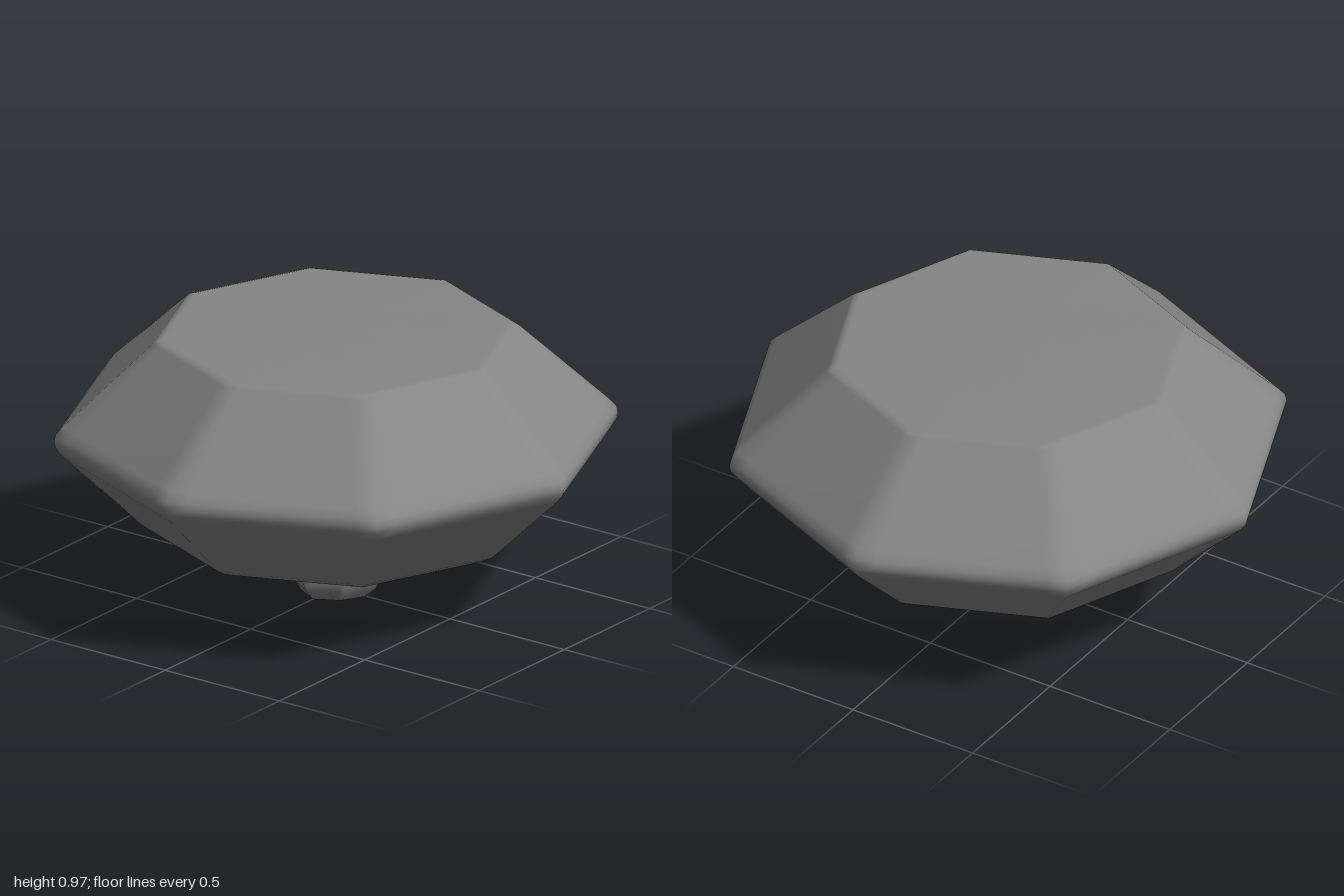
import * as THREE from 'three';

// Distance from the axis to a regular polygon with a corner at angle 0
function polygonRadius(angle, sides) {
  const step = (Math.PI * 2) / sides;
  const a = ((angle % step) + step) % step;
  return Math.cos(step / 2) / Math.cos(a - step / 2);
}

// Lofts closed rings [radius, y, octagon share] and closes both ends;
// share 1 is an octagon, share 0 is a square
function loft(rings) {
  const angles = [];
  for (let i = 0; i < 8; i++) {
    for (const d of [-0.07, 0, 0.07]) angles.push((i * Math.PI) / 4 + d);
  }
  const n = angles.length;
  const positions = [];
  const index = [];
  for (const [r, y, share] of rings) {
    for (const a of angles) {
      const k = r * (share * polygonRadius(a, 8) + (1 - share) * polygonRadius(a, 4));
      positions.push(Math.cos(a) * k, y, Math.sin(a) * k);
    }
  }
  for (let i = 0; i < rings.length - 1; i++) {
    for (let j = 0; j < n; j++) {
      const a = i * n + j;
      const b = i * n + ((j + 1) % n);
      index.push(a, a + n, b, b, a + n, b + n);
    }
  }
  // End caps
  const bottom = positions.length / 3;
  positions.push(0, rings[0][1], 0, 0, rings[rings.length - 1][1], 0);
  const last = (rings.length - 1) * n;
  for (let j = 0; j < n; j++) {
    const k = (j + 1) % n;
    index.push(bottom, j, k, bottom + 1, last + k, last + j);
  }
  const geometry = new THREE.BufferGeometry();
  geometry.setAttribute('position', new THREE.Float32BufferAttribute(positions, 3));
  geometry.setIndex(index);
  geometry.computeVertexNormals();
  return geometry;
}

export function createModel() {
  const group = new THREE.Group();
  group.name = 'facetedKnob';
  const material = new THREE.MeshStandardMaterial({ color: 0x868686 });

  const rings = [
    // Stem, rounder at the tip and squarer above
    [0.135, 0, 0.7],
    [0.178, 0.045, 0.5],
    [0.19, 0.07, 0.35],
    [0.24, 0.185, 0.2],
    // Flare into the underside
    [0.275, 0.21, 0.3],
    [0.32, 0.232, 0.5],
    [0.6, 0.243, 1],
    // Lower facets with softened rims
    [0.645, 0.249, 1],
    [0.685, 0.272, 1],
    [0.97, 0.548, 1],
    // Girdle
    [0.994, 0.58, 1],
    [1.0, 0.605, 1],
    [0.994, 0.63, 1],
    [0.97, 0.658, 1],
    // Upper facets and flat top
    [0.65, 0.953, 1],
    [0.637, 0.962, 1],
    [0.615, 0.968, 1],
  ];
  const knob = new THREE.Mesh(loft(rings), material);
  knob.name = 'knobWithStem';
  group.add(knob);
  return group;
}
